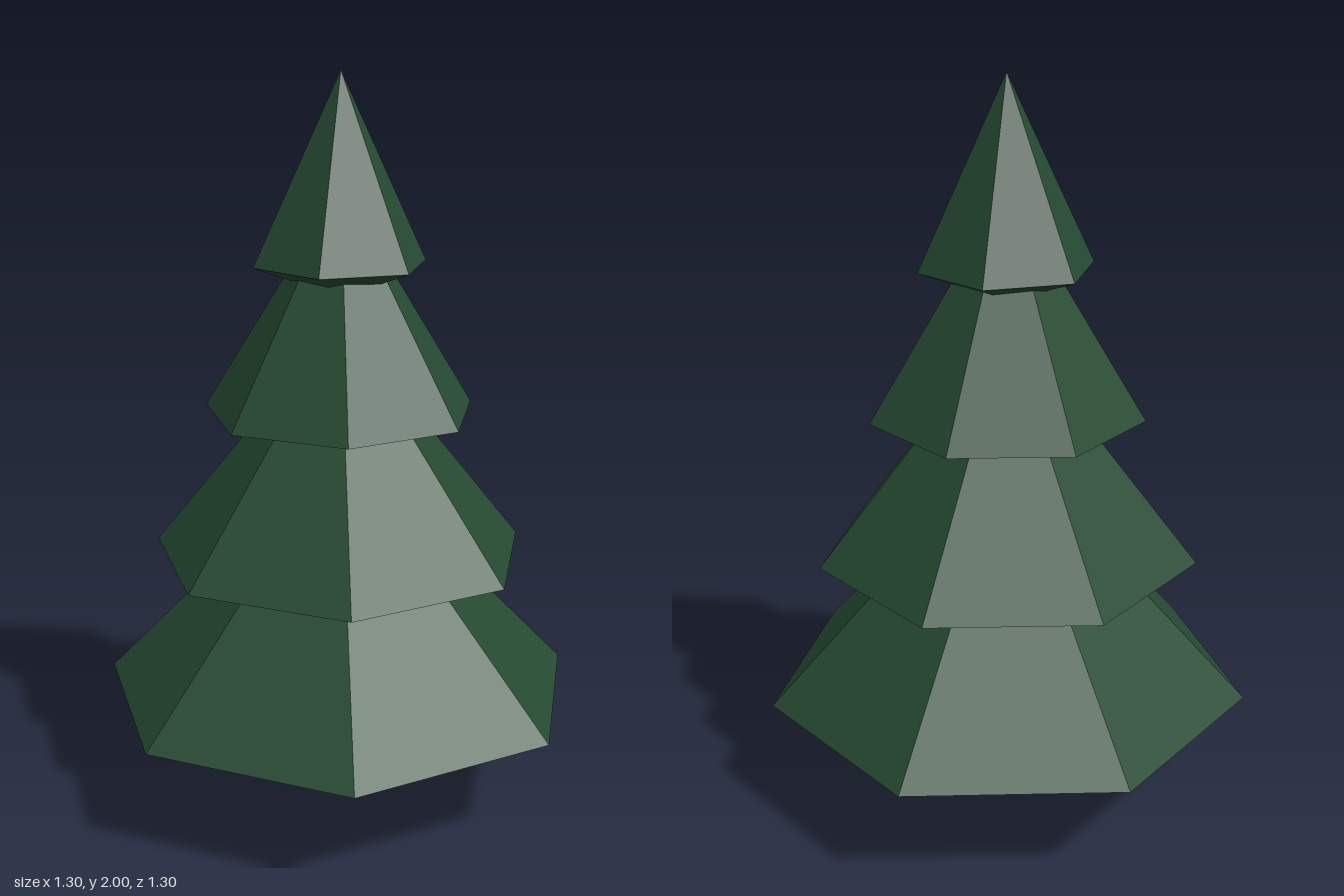
import * as THREE from 'three';

const rad = THREE.MathUtils.degToRad;

export function createModel() {
  const tree = new THREE.Group();
  tree.name = 'pineTree';

  const needles = new THREE.MeshStandardMaterial({ color: 0x264a32, flatShading: true });
  needles.name = 'needleGreen';
  const bark = new THREE.MeshStandardMaterial({ color: 0x5c4033, flatShading: true });
  bark.name = 'barkBrown';

  // The trunk axis sits slightly off centre so the uneven-sided crown is centred
  const axis = new THREE.Group();
  axis.name = 'treeAxis';
  axis.position.set(0.0165, 0, -0.0168);
  tree.add(axis);

  // Tapered six-sided trunk, its top hidden inside the lowest tier
  const trunk = new THREE.Mesh(
    new THREE.CylinderGeometry(0.074, 0.09, 0.3, 6, 1, false, rad(-10)), bark);
  trunk.name = 'trunk';
  trunk.position.y = 0.15;
  axis.add(trunk);

  // Branch tiers: a tall cone above the rim and a shallow one below it
  const tiers = [
    { name: 'lowestTier', rim: 0.302, radius: 0.671, drop: 0.122, apex: 1.005, sides: 7, turn: 6.3 },
    { name: 'lowerTier', rim: 0.703, radius: 0.523, drop: 0.115, apex: 1.355, sides: 7, turn: 6.3 },
    { name: 'upperTier', rim: 1.103, radius: 0.374, drop: 0.102, apex: 1.71, sides: 7, turn: 6.3 },
    { name: 'topTier', rim: 1.502, radius: 0.238, drop: 0.09, apex: 2, sides: 6, turn: -10 },
  ];
  for (const t of tiers) {
    const profile = [
      new THREE.Vector2(0, t.rim - t.drop),
      new THREE.Vector2(t.radius, t.rim),
      new THREE.Vector2(0, t.apex),
    ];
    const tier = new THREE.Mesh(new THREE.LatheGeometry(profile, t.sides, rad(t.turn)), needles);
    tier.name = t.name;
    axis.add(tier);
  }

  return tree;
}
